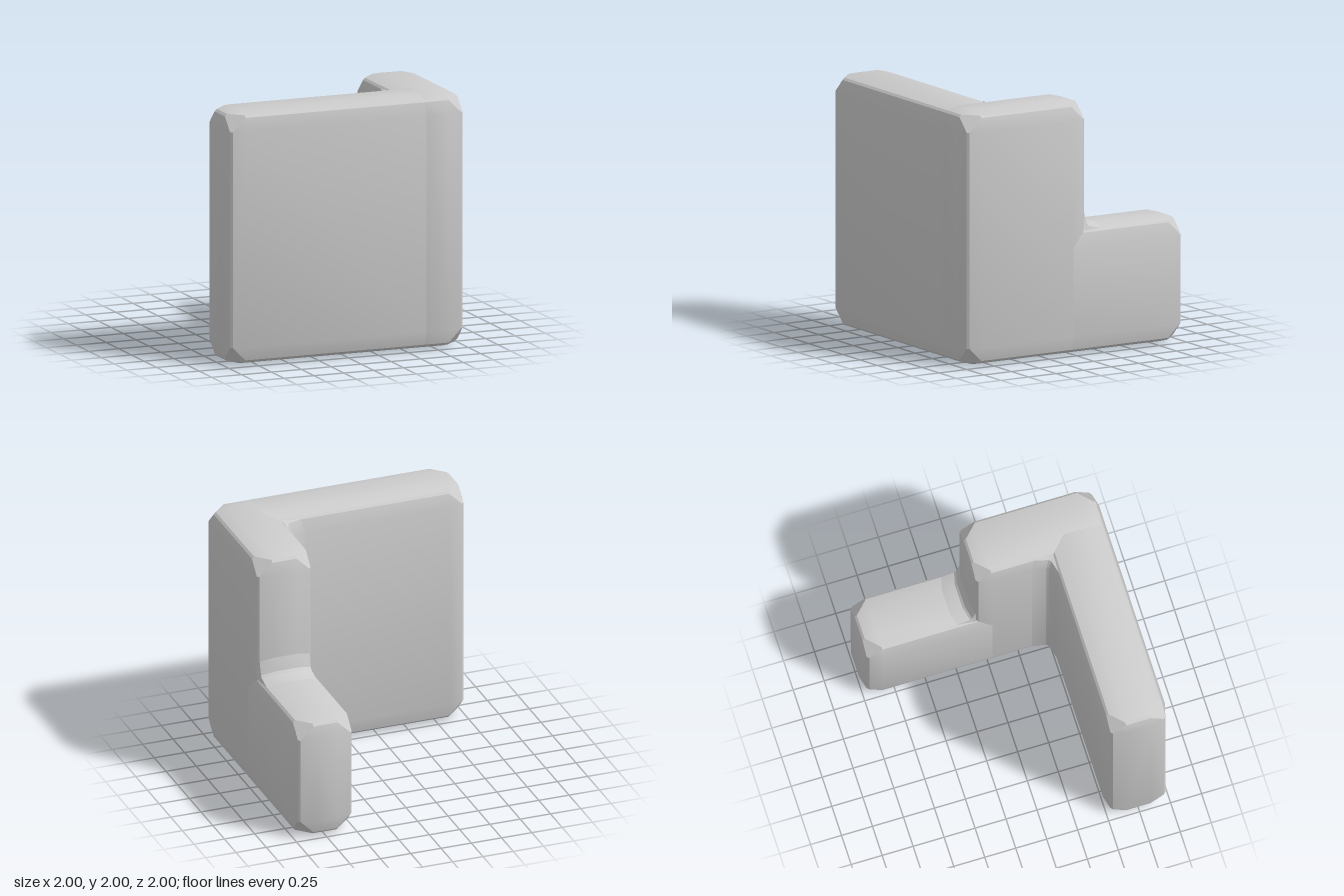
import * as THREE from 'three';
import { ConvexGeometry } from 'three/addons/geometries/ConvexGeometry.js';
import { toCreasedNormals } from 'three/addons/utils/BufferGeometryUtils.js';

// Edge softening: faces start to slope at FLAT from an edge, and end in a narrow bevel
const FLAT = 0.15, IN = 0.045, OUT = 0.028;
const CREASE = 0.4;

const grey = new THREE.MeshStandardMaterial({ color: 0xcccccc });
const greyOpen = new THREE.MeshStandardMaterial({ color: 0xcccccc, side: THREE.DoubleSide });

// Corner points as distances from the three outer planes of a box
const INSETS = [
  [0, FLAT, FLAT], [FLAT, 0, FLAT], [FLAT, FLAT, 0],
  [OUT, IN, FLAT], [IN, OUT, FLAT], [OUT, FLAT, IN],
  [IN, FLAT, OUT], [FLAT, OUT, IN], [FLAT, IN, OUT],
];

// Softened slab; openAxis marks an axis whose positive end is cut square and buried in its neighbour
function slab(name, min, max, openAxis = -1) {
  const points = [];
  for (let corner = 0; corner < 8; corner++) {
    for (const inset of INSETS) {
      const p = [0, 1, 2].map((k) => {
        const high = (corner >> k) & 1;
        const d = high && k === openAxis ? 0 : inset[k];
        return high ? max[k] - d : min[k] + d;
      });
      points.push(new THREE.Vector3(...p));
    }
  }
  const mesh = new THREE.Mesh(toCreasedNormals(new ConvexGeometry(points), CREASE), grey);
  mesh.name = name;
  return mesh;
}

// Flared fillet in an inside corner; place maps (out, out, along) to a position
function insideFillet(name, half, place) {
  const profile = [[FLAT, 0], [IN, OUT], [OUT, IN], [0, FLAT]];
  const ends = [half - OUT, half - IN, half - FLAT];
  const rows = [-ends[0], -ends[1], -ends[2], ends[2], ends[1], ends[0]];
  const geometry = new THREE.PlaneGeometry(1, 1, 3, 5);
  const position = geometry.attributes.position;
  rows.forEach((t, row) => {
    const step = Math.min(row, 5 - row); // 0 closed tip, 1 sunken, 2 full
    profile.forEach(([u, v], col) => {
      const p = step === 0 ? place(-0.03, -0.03, t)
        : step === 1 ? place(u - OUT, v - OUT, t) : place(u, v, t);
      position.setXYZ(row * 4 + col, ...p);
    });
  });
  const mesh = new THREE.Mesh(toCreasedNormals(geometry, CREASE), greyOpen);
  mesh.name = name;
  return mesh;
}

export function createModel() {
  const group = new THREE.Group();
  group.name = 'steppedCornerBlock';
  group.add(
    slab('frontWall', [-1, 0, 0.5], [0.5 + FLAT, 2, 1], 0),
    slab('tallSideWall', [0.5, 0, -0.12], [1, 2, 1]),
    slab('lowSideWall', [0.5, 0, -1], [1, 1, -0.12 + FLAT], 2),
    insideFillet('wallCornerFillet', 1, (u, v, t) => [0.5 - u, 1 + t, 0.5 - v]),
    insideFillet('stepFillet', 0.25, (u, v, t) => [0.75 + t, 1 + u, -0.12 - v]),
  );
  return group;
}
